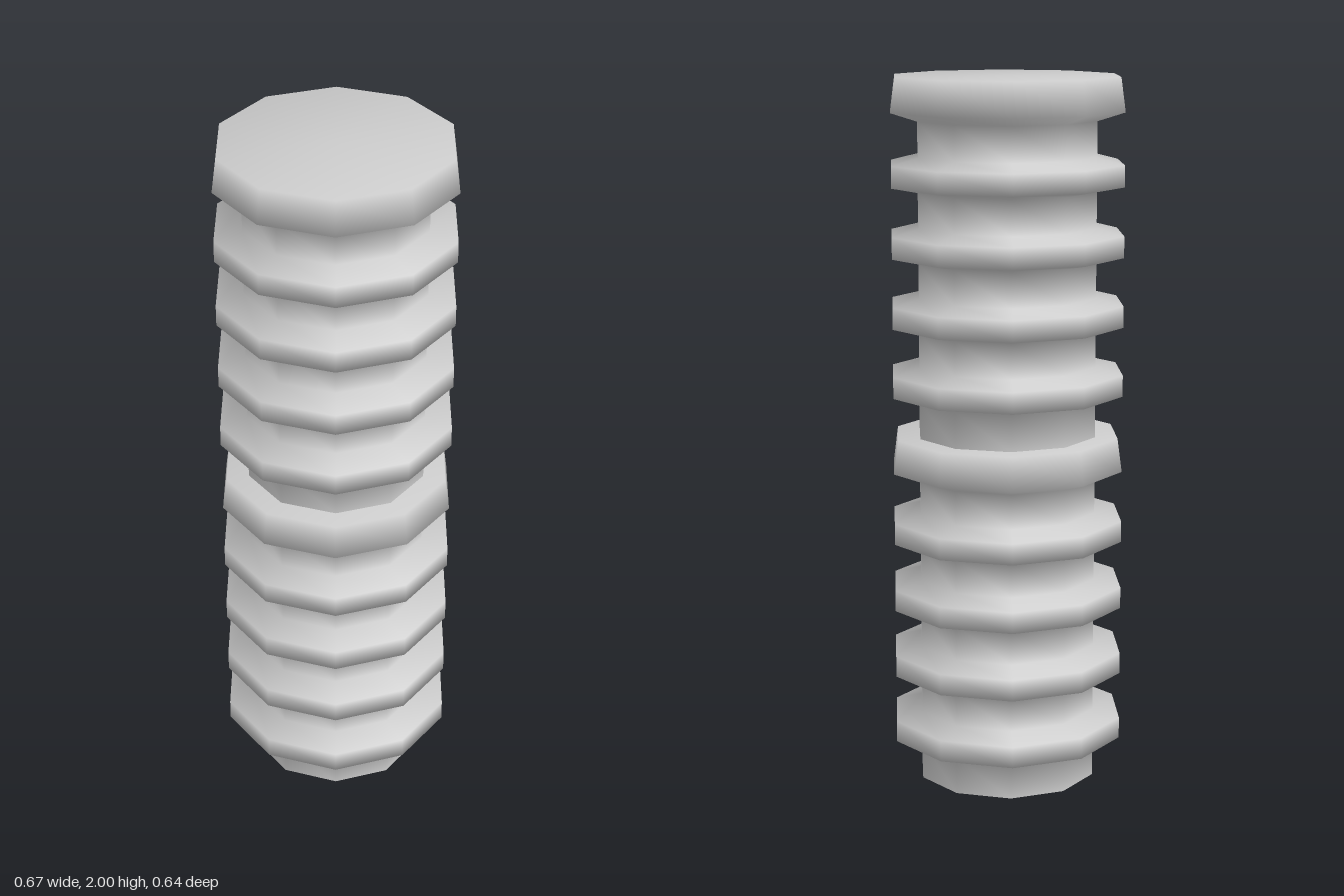
import * as THREE from 'three';

const SIDES = 10;
const NECK = 0.257, RIM = 0.335;

// Profile of one unit-high section: open neck, four ribs, capped head
function sectionProfile() {
  const p = [[NECK, 0]];
  for (let i = 0; i < 4; i++) {
    const y = 0.105 + i * 0.194;
    p.push([NECK, y], [RIM, y + 0.015], [RIM, y + 0.075], [NECK, y + 0.095]);
  }
  p.push([NECK, 0.88], [RIM, 0.905], [0.322, 1], [0, 1]);
  return p.map(([r, y]) => new THREE.Vector2(r, y));
}

export function createModel() {
  const group = new THREE.Group();
  group.name = 'ribbedColumn';
  const material = new THREE.MeshStandardMaterial({ color: 0xcccccc, side: THREE.DoubleSide });
  // Ten-sided thin shell with a corner on the x axis
  const geometry = new THREE.LatheGeometry(sectionProfile(), SIDES, Math.PI / 2);

  // Two identical sections stacked end to end
  ['lowerSection', 'upperSection'].forEach((name, i) => {
    const section = new THREE.Mesh(geometry, material);
    section.name = name;
    section.position.y = i;
    group.add(section);
  });
  return group;
}
